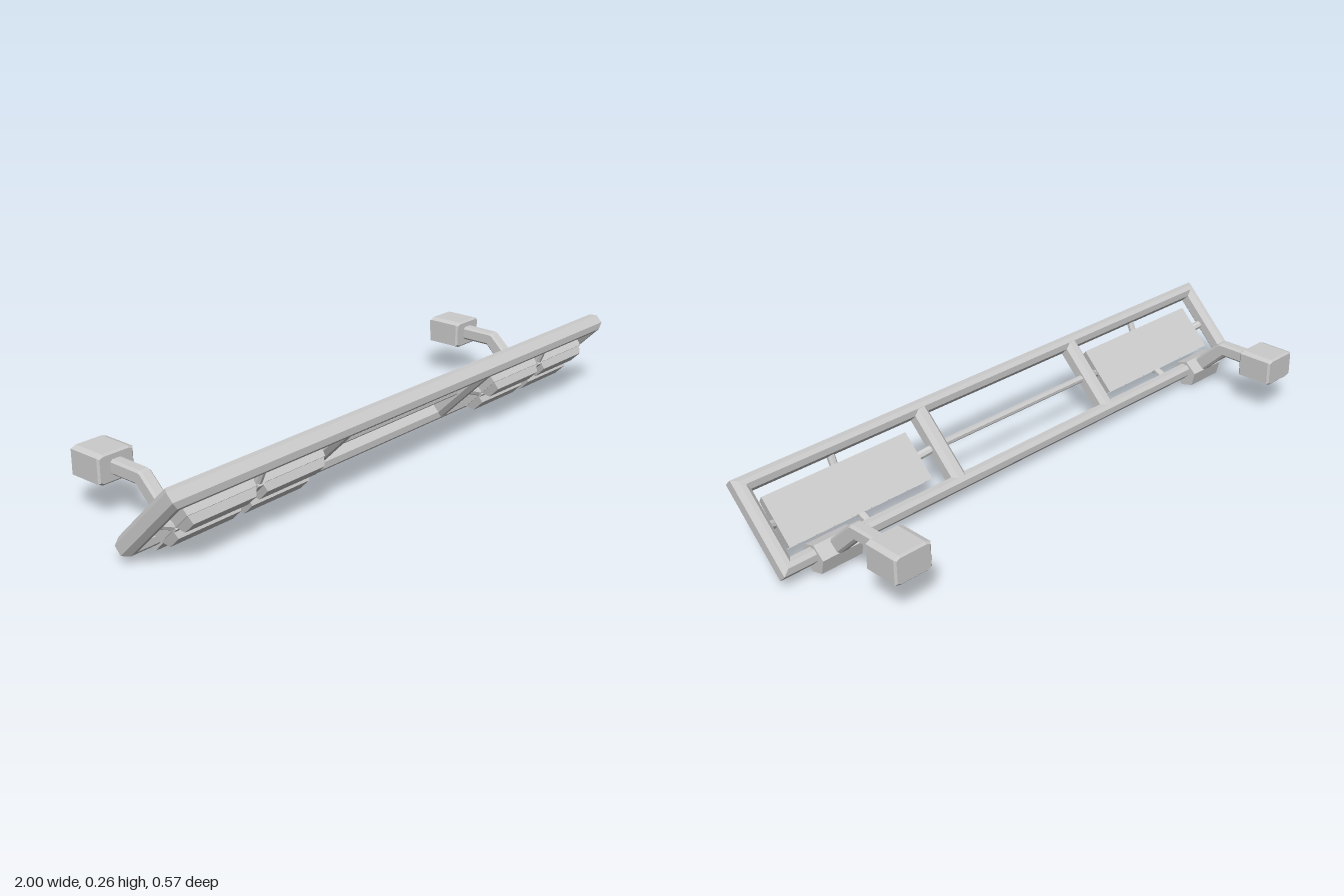
import * as THREE from 'three';

const mat = new THREE.MeshStandardMaterial({ color: 0xcccccc, flatShading: true });

function add(parent, name, geo, x = 0, y = 0, z = 0) {
  const m = new THREE.Mesh(geo, mat);
  m.name = name;
  m.position.set(x, y, z);
  parent.add(m);
  return m;
}

// Outline given as [z, y], extruded along x and centred, with optional bevel
function extrudeX(points, width, bevel = 0) {
  const shape = new THREE.Shape(points.map(([z, y]) => new THREE.Vector2(-z, y)));
  const depth = width - 2 * bevel;
  const geo = new THREE.ExtrudeGeometry(shape, {
    depth, bevelEnabled: bevel > 0, bevelThickness: bevel,
    bevelSize: bevel, bevelOffset: -bevel, bevelSegments: 1,
  });
  geo.translate(0, 0, -depth / 2);
  return geo.rotateY(Math.PI / 2);
}

// Rectangle outline with cut corners
function cutRect(hx, hy, cx, cy = cx) {
  return [[hx, cy - hy], [hx, hy - cy], [hx - cx, hy], [cx - hx, hy],
    [-hx, hy - cy], [-hx, cy - hy], [cx - hx, -hy], [hx - cx, -hy]];
}

// Box whose front face is drawn in by an inset
function taperBox(w, h, d, inset) {
  const geo = new THREE.BoxGeometry(w, h, d);
  const p = geo.attributes.position;
  for (let i = 0; i < p.count; i++) {
    if (p.getZ(i) < 0) continue;
    p.setX(i, p.getX(i) - Math.sign(p.getX(i)) * inset);
    p.setY(i, p.getY(i) - Math.sign(p.getY(i)) * inset);
  }
  geo.computeVertexNormals();
  return geo;
}

// Straight rod between two points
function rod(parent, name, a, b, radius) {
  const va = new THREE.Vector3(...a), vb = new THREE.Vector3(...b);
  const dir = vb.clone().sub(va);
  const geo = new THREE.CylinderGeometry(radius, radius, dir.length(), 8);
  geo.rotateY(Math.PI / 8);
  const m = add(parent, name, geo);
  m.position.copy(va.add(vb).multiplyScalar(0.5));
  m.quaternion.setFromUnitVectors(new THREE.Vector3(0, 1, 0), dir.normalize());
}

// Mitred rectangular ring: a four-sided lathe stretched along x
function frameGeometry(halfX, halfY) {
  const section = [...cutRect(0.0225, 0.031, 0.015), [0.0225, -0.016]];
  const pts = section.map(([r, y]) => new THREE.Vector2((r + halfY - 0.0225) * Math.SQRT2, y));
  const geo = new THREE.LatheGeometry(pts, 4, Math.PI / 4);
  const p = geo.attributes.position;
  for (let i = 0; i < p.count; i++) {
    p.setX(i, p.getX(i) + Math.sign(p.getX(i)) * (halfX - halfY));
  }
  geo.rotateX(Math.PI / 2);
  geo.computeVertexNormals();
  return geo;
}

function addLamp(parent, s) {
  const lamp = new THREE.Group();
  lamp.name = s > 0 ? 'leftLamp' : 'rightLamp';
  lamp.position.x = s * 0.665;
  parent.add(lamp);

  // Housing with four raised lenses
  add(lamp, 'lampHousing', taperBox(0.525, 0.162, 0.03, 0.004), 0, 0, 0.027);
  for (const sx of [-1, 1]) {
    for (const sy of [-1, 1]) {
      add(lamp, 'lens', taperBox(0.245, 0.068, 0.026, 0.01), sx * 0.134, sy * 0.043 - 0.002, 0.053);
    }
  }

  // Struts holding the lamp in the frame
  add(lamp, 'crossStrut', new THREE.BoxGeometry(0.52, 0.016, 0.012), 0, 0, 0.042);
  add(lamp, 'uprightStrut', new THREE.BoxGeometry(0.022, 0.162, 0.012), 0, 0, 0.042);
  for (const t of [-1, 1]) {
    rod(lamp, 'sideStrut', [t * 0.318, 0, 0.002], [t * 0.25, 0, 0.034], 0.014);
    rod(lamp, 'endStrut', [0, t * 0.128, 0.012], [0, t * 0.072, 0.034], 0.013);
  }
}

function addMount(parent, s) {
  const mount = new THREE.Group();
  mount.name = s > 0 ? 'leftMount' : 'rightMount';
  mount.position.x = s * 0.815;
  parent.add(mount);

  // Bent arm running back from the lower rail
  const arm = [[0.075, 0.068], [0.058, 0.092], [-0.036, 0.18], [-0.046, 0.184], [-0.17, 0.185],
    [-0.17, 0.139], [-0.062, 0.139], [0.02, 0.06], [0.05, 0.045]];
  add(mount, 'arm', extrudeX(arm, 0.042, 0.007));

  // Mounting block with cut edges
  const outline = cutRect(0.064, 0.046, 0.018, 0.007).map(([x, y]) => new THREE.Vector2(x, y));
  const block = new THREE.ExtrudeGeometry(new THREE.Shape(outline), {
    depth: 0.112, bevelThickness: 0.006, bevelSize: 0.006, bevelOffset: -0.006, bevelSegments: 1,
  });
  add(mount, 'mountingBlock', block, 0, 0.161, -0.279);
}

export function createModel() {
  const model = new THREE.Group();
  model.name = 'lampBar';

  // Everything in the frame leans forward by 45 degrees
  const frame = new THREE.Group();
  frame.name = 'tiltedFrame';
  frame.position.set(0, 0.149, 0.164);
  frame.rotation.x = Math.PI / 4;
  model.add(frame);

  add(frame, 'outerFrame', frameGeometry(1, 0.153));
  rod(frame, 'centreRod', [-0.335, 0, 0], [0.335, 0, 0], 0.012);

  const dividerShape = new THREE.Shape(
    cutRect(0.026, 0.0305, 0.014).map(([x, y]) => new THREE.Vector2(x, y)));
  const clamp = [[0.037, -0.108], [0.0385, -0.166], [0, -0.189],
    [-0.041, -0.164], [-0.037, -0.112], [0, -0.093]];

  for (const s of [-1, 1]) {
    const divider = new THREE.ExtrudeGeometry(dividerShape, { depth: 0.26, bevelEnabled: false });
    divider.translate(0, 0, -0.13).rotateX(Math.PI / 2);
    add(frame, 'divider', divider, s * 0.335);
    add(frame, 'railClamp', extrudeX(clamp, 0.142), s * 0.817);
    addLamp(frame, s);
    addMount(model, s);
  }
  return model;
}
